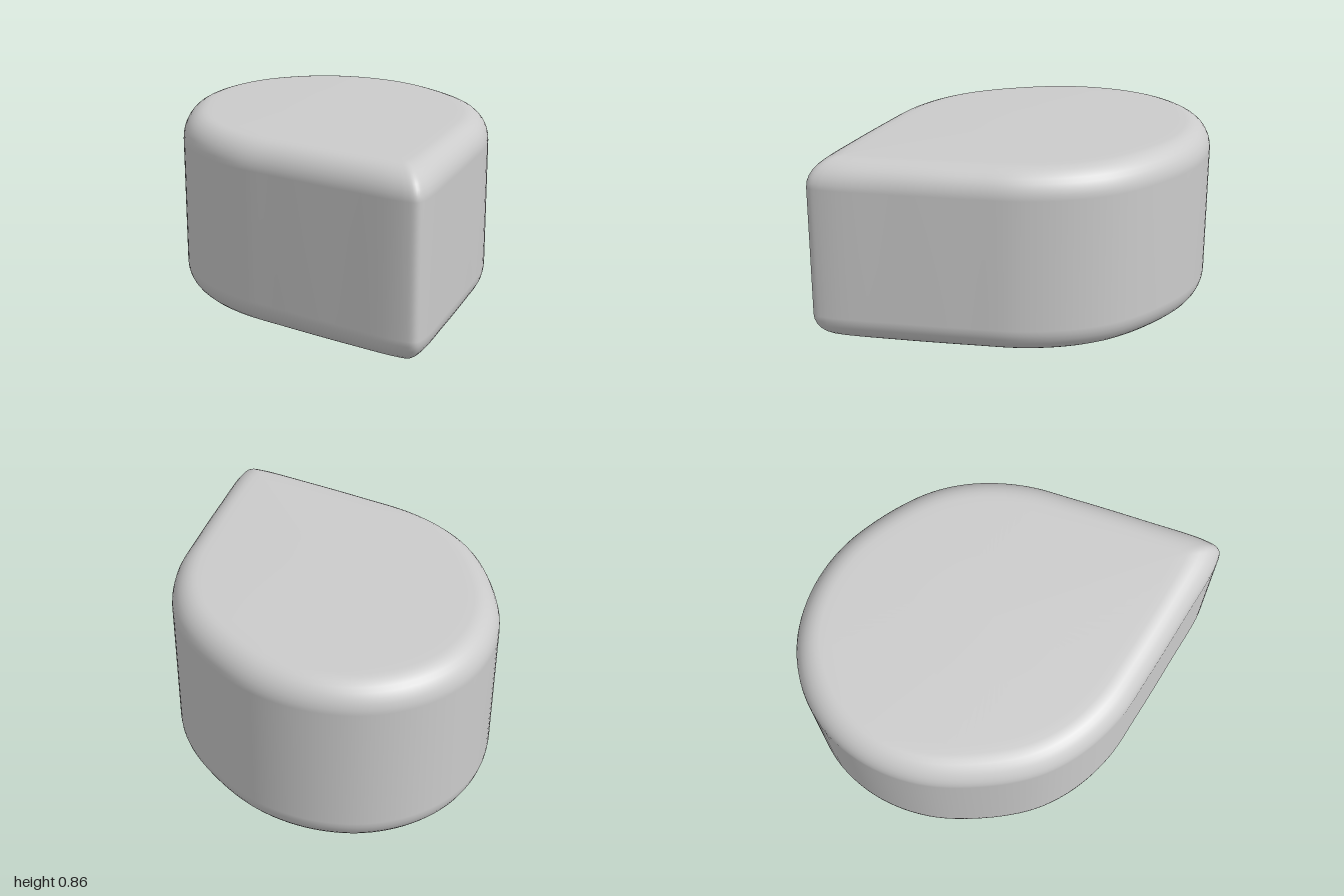
import * as THREE from 'three';

// Half outline from back to front tip: wall x, z and the flat face's edge x, z
const HALF = [
  [0, -1, 0, -0.88],
  [0.22, -0.96, 0.18, -0.85],
  [0.42, -0.84, 0.35, -0.745],
  [0.58, -0.65, 0.485, -0.58],
  [0.68, -0.40, 0.565, -0.37],
  [0.72, -0.15, 0.60, -0.15],
  [0.69, 0.06, 0.575, 0.03],
  [0.60, 0.27, 0.50, 0.20],
  [0.46, 0.46, 0.365, 0.385],
  [0.25, 0.725, 0.156, 0.65],
  [0.055, 0.96, 0.025, 0.80],
  [0, 0.995, 0, 0.82],
];
const HEIGHT = 0.86, RADIUS = 0.125, CROWN = 0.004;
const STEPS = 6, ROUND = 8;

// Closed smooth loop, mirrored across x = 0
function outline(col) {
  const right = HALF.map((p) => new THREE.Vector3(p[col], 0, p[col + 1]));
  const left = right.slice(1, -1).reverse().map((p) => new THREE.Vector3(-p.x, 0, p.z));
  const curve = new THREE.CatmullRomCurve3([...right, ...left], true, 'centripetal');
  return curve.getPoints((right.length + left.length) * STEPS).slice(0, -1);
}

function teardropGeometry() {
  const outer = outline(0), inner = outline(2), n = outer.length;
  const centre = new THREE.Vector3(0, 0, -0.1);

  // Rings run from the bottom centre, round the lower edge, up the wall and over the top
  const rings = [];
  const cap = (y, s) => inner.map((p) => centre.clone().lerp(p, s).setY(y));
  const edge = (k) => {
    const a = (k / ROUND) * Math.PI / 2;
    const y = CROWN + RADIUS * (1 - Math.sin(a));
    return { y, pts: inner.map((p, i) => p.clone().lerp(outer[i], Math.cos(a))) };
  };
  rings.push(cap(0, 0), cap(0, 0.5), cap(CROWN * 0.7, 0.93));
  for (let k = ROUND; k >= 0; k--) {
    const { y, pts } = edge(k);
    rings.push(pts.map((p) => p.setY(y)));
  }
  for (let k = 0; k <= ROUND; k++) {
    const { y, pts } = edge(k);
    rings.push(pts.map((p) => p.setY(HEIGHT - y)));
  }
  rings.push(cap(HEIGHT - CROWN * 0.7, 0.93), cap(HEIGHT, 0.5), cap(HEIGHT, 0));

  const index = [];
  for (let r = 0; r < rings.length - 1; r++) {
    for (let i = 0; i < n; i++) {
      const j = (i + 1) % n;
      const a = r * n + i, b = r * n + j, c = a + n, d = b + n;
      if (r > 0) index.push(a, c, b);
      if (r < rings.length - 2) index.push(b, c, d);
      else index.push(a, c, b);
    }
  }
  // The last ring is a point, so its duplicate triangles are dropped
  const lastStart = index.length - n * 6;
  const clean = index.filter((_, k) => k < lastStart || Math.floor((k - lastStart) / 3) % 2 === 0);

  const geo = new THREE.BufferGeometry().setFromPoints(rings.flat());
  geo.setIndex(clean);
  geo.computeVertexNormals();
  return geo;
}

export function createModel() {
  const group = new THREE.Group();
  group.name = 'teardropBlock';
  const body = new THREE.Mesh(
    teardropGeometry(),
    new THREE.MeshStandardMaterial({ color: 0xcccccc })
  );
  body.name = 'roundedTeardropBody';
  group.add(body);
  return group;
}
